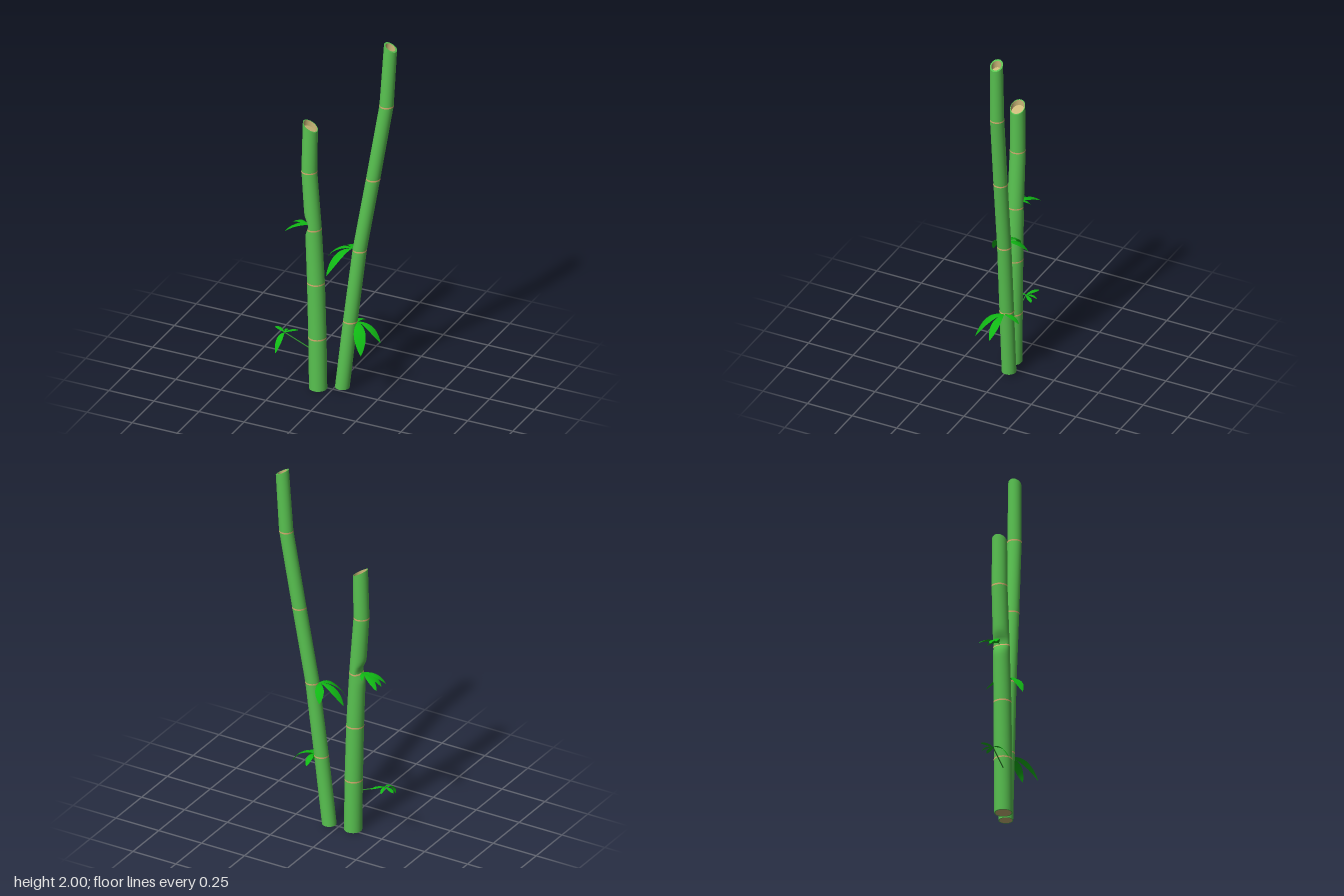
import * as THREE from 'three';

const mat = (color, side = THREE.FrontSide) => {
  const m = new THREE.MeshStandardMaterial({ side });
  m.color.set(color);
  return m;
};
const GREEN = mat(0x58c250), TAN = mat(0xcbb878), NODE = mat(0xd6b070);
const LEAF = mat(0x10b814, THREE.DoubleSide), TWIG = mat(0x2f8f2f);
const SIDES = 32;

// Skin through level rings { x, y, z, r, tilt }; tilt slants the ring along x
function loft(rings, dent = () => 0) {
  const pos = [], idx = [];
  rings.forEach(({ x, y, z, r, tilt = 0 }, j) => {
    for (let i = 0; i < SIDES; i++) {
      const a = (i / SIDES) * Math.PI * 2, c = Math.cos(a);
      pos.push(x + r * c + dent(y, c), y - tilt * r * c, z + r * Math.sin(a));
      if (j === rings.length - 1) continue;
      const p = j * SIDES + i, q = j * SIDES + (i + 1) % SIDES;
      idx.push(p, p + SIDES, q, q, p + SIDES, q + SIDES);
    }
  });
  const g = new THREE.BufferGeometry();
  g.setAttribute('position', new THREE.Float32BufferAttribute(pos, 3));
  g.setIndex(idx);
  g.computeVertexNormals();
  return g;
}

function add(group, name, geometry, material) {
  const m = new THREE.Mesh(geometry, material);
  m.name = name;
  group.add(m);
}

const mix = (a, b, t) => ({
  x: a.x + (b.x - a.x) * t, y: a.y + (b.y - a.y) * t, z: a.z + (b.z - a.z) * t,
  r: a.r + (b.r - a.r) * t, tilt: a.tilt + (b.tilt - a.tilt) * t,
});

// Cane with internodes, node bands, a slanted cut and a hollow end
function stalk(name, points, tilt, innerRatio, dent) {
  const g = new THREE.Group();
  g.name = name;
  const last = points.length - 1;
  const rings = points.map(([x, y, z, r], i) => ({ x, y, z, r, tilt: i === last ? tilt : 0 }));
  for (let i = 0; i < last; i++) {
    const steps = Array.from({ length: 17 }, (_, k) => mix(rings[i], rings[i + 1], k / 16));
    add(g, 'internode', loft(steps, dent), GREEN);
    if (i > 0) {
      const n = rings[i], r = n.r + 0.0008;
      add(g, 'nodeBand', loft([{ ...n, y: n.y - 0.004, r }, { ...n, y: n.y + 0.004, r }], dent), NODE);
    }
  }
  // Base disc with its green edge
  const base = rings[0], core = { ...base, r: base.r * 0.88 };
  add(g, 'baseDisc', loft([{ ...base, r: 0 }, core]), TAN);
  add(g, 'baseRim', loft([core, base]), GREEN);
  // Hollow top
  const top = rings[last], lip = { ...top, r: top.r * innerRatio };
  const floor = { ...mix(top, rings[last - 1], 0.12), r: lip.r, tilt };
  add(g, 'topRim', loft([top, lip]), GREEN);
  add(g, 'hollowWall', loft([lip, floor]), TAN);
  add(g, 'hollowFloor', loft([floor, { ...floor, r: 0 }]), TAN);
  return g;
}

// Drooping leaf blade, broadest past the middle, slightly folded along its rib
function leaf(base, tip, width) {
  const a = new THREE.Vector3(...base), b = new THREE.Vector3(...tip);
  const mid = a.clone().lerp(b, 0.6);
  mid.y = Math.max(a.y, b.y) + 0.012;
  const curve = new THREE.QuadraticBezierCurve3(a, mid, b);
  const side = new THREE.Vector3(a.z - b.z, 0, b.x - a.x).normalize();
  const pos = [], idx = [], N = 14;
  for (let i = 0; i <= N; i++) {
    const t = i / N, p = curve.getPoint(t);
    const w = (width / 2) * Math.pow(Math.sin(Math.PI * Math.pow(t, 1.15)), 0.8) + 0.0008;
    for (const s of [-1, 0, 1]) {
      pos.push(p.x + side.x * w * s, p.y - Math.abs(s) * w * 0.2, p.z + side.z * w * s);
    }
    if (i < N) for (const k of [0, 1]) {
      const q = i * 3 + k;
      idx.push(q, q + 1, q + 3, q + 1, q + 4, q + 3);
    }
  }
  const g = new THREE.BufferGeometry();
  g.setAttribute('position', new THREE.Float32BufferAttribute(pos, 3));
  g.setIndex(idx);
  g.computeVertexNormals();
  return g;
}

// Twig with a spray of leaves; each leaf is [tip, width]
function spray(name, root, hub, leaves) {
  const g = new THREE.Group();
  g.name = name;
  const line = new THREE.LineCurve3(new THREE.Vector3(...root), new THREE.Vector3(...hub));
  add(g, 'twig', new THREE.TubeGeometry(line, 1, 0.003, 6), TWIG);
  for (const [tip, width] of leaves) add(g, 'leaf', leaf(hub, tip, width), LEAF);
  return g;
}

export function createModel() {
  const model = new THREE.Group();
  model.name = 'bambooCanes';

  // Tall leaning cane
  model.add(stalk('tallStalk', [
    [0.044, 0.015, -0.02, 0.037], [0.085, 0.4, -0.028, 0.037], [0.132, 0.81, -0.038, 0.036],
    [0.2, 1.225, -0.052, 0.036], [0.267, 1.65, -0.067, 0.036], [0.286, 1.981, -0.073, 0.033],
  ], 0.55, 0.76));

  // Short cane, pinched on its outer side at the third node
  const dent = (y, c) => 0.022 * Math.exp(-(((y - 0.92) / 0.035) ** 2)) * Math.max(0, -c);
  model.add(stalk('shortStalk', [
    [-0.073, 0, 0.016, 0.046], [-0.077, 0.29, 0.016, 0.046], [-0.085, 0.6, 0.016, 0.045],
    [-0.099, 0.905, 0.016, 0.042], [-0.122, 1.225, 0.016, 0.04], [-0.117, 1.48, 0.014, 0.038],
  ], 0.6, 0.91, dent));

  // Leaf sprays
  model.add(spray('tallUpperSpray', [0.12, 0.8, -0.035], [0.095, 0.812, -0.03], [
    [[-0.05, 0.72, -0.037], 0.045],
    [[0.037, 0.75, -0.127], 0.042],
    [[0.006, 0.69, 0.087], 0.055],
  ]));
  model.add(spray('tallLowerSpray', [0.09, 0.39, -0.03], [0.125, 0.4, -0.033], [
    [[0.2, 0.28, 0.09], 0.058],
    [[0.257, 0.315, -0.018], 0.042],
    [[0.122, 0.365, -0.115], 0.03],
  ]));
  model.add(spray('shortUpperSpray', [-0.1, 0.9, 0.016], [-0.13, 0.912, 0.014], [
    [[-0.247, 0.87, -0.049], 0.033],
    [[-0.24, 0.862, 0.014], 0.033],
    [[-0.245, 0.865, 0.048], 0.03],
    [[-0.156, 0.895, -0.037], 0.018],
  ]));
  model.add(spray('shortLowerSpray', [-0.1, 0.22, 0.033], [-0.25, 0.282, 0.035], [
    [[-0.32, 0.283, -0.003], 0.022],
    [[-0.258, 0.205, 0.124], 0.03],
    [[-0.258, 0.27, -0.022], 0.016],
    [[-0.2, 0.28, -0.02], 0.02],
  ]));
  return model;
}
